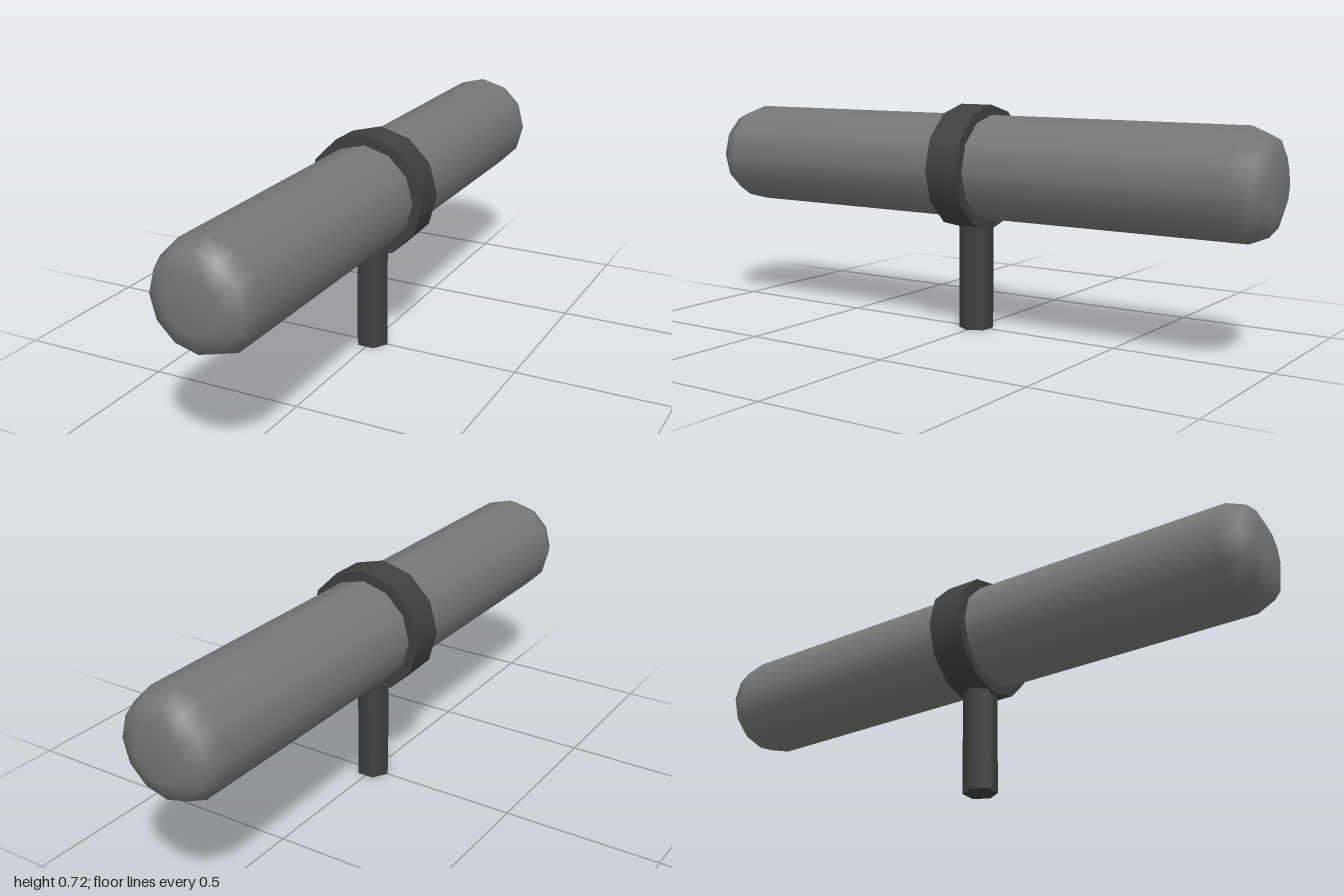
import * as THREE from 'three';

const AXIS_Y = 0.523; // height of the bar's axis
const SIDES = 12;

function addPart(group, name, geometry, color) {
  const mesh = new THREE.Mesh(geometry, new THREE.MeshStandardMaterial({ color }));
  mesh.name = name;
  group.add(mesh);
  return mesh;
}

export function createModel() {
  const group = new THREE.Group();
  group.name = 'barOnPost';

  // Long bar with rounded-over ends, as a profile turned about its axis
  const radius = 0.166, fillet = 0.083;
  const halfProfile = [[0, 1]];
  for (let i = 0; i <= 2; i++) {
    const a = (i / 2) * Math.PI / 2;
    halfProfile.push([radius - fillet + fillet * Math.sin(a), 1 - fillet + fillet * Math.cos(a)]);
  }
  const profile = [
    ...halfProfile.map(([r, z]) => new THREE.Vector2(r, -z)),
    ...halfProfile.reverse().map(([r, z]) => new THREE.Vector2(r, z)),
  ];
  const bar = new THREE.LatheGeometry(profile, SIDES).rotateX(Math.PI / 2);
  addPart(group, 'bar', bar, 0x777777).position.y = AXIS_Y;

  // Collar around the middle of the bar
  const collar = new THREE.CylinderGeometry(0.198, 0.198, 0.114, SIDES).rotateX(Math.PI / 2);
  addPart(group, 'collar', collar, 0x404040).position.y = AXIS_Y;

  // Six-sided post, corners pointing left and right
  const postHeight = 0.36;
  const post = new THREE.CylinderGeometry(0.055, 0.055, postHeight, 6).rotateY(Math.PI / 2);
  addPart(group, 'post', post, 0x404040).position.y = postHeight / 2;

  return group;
}
